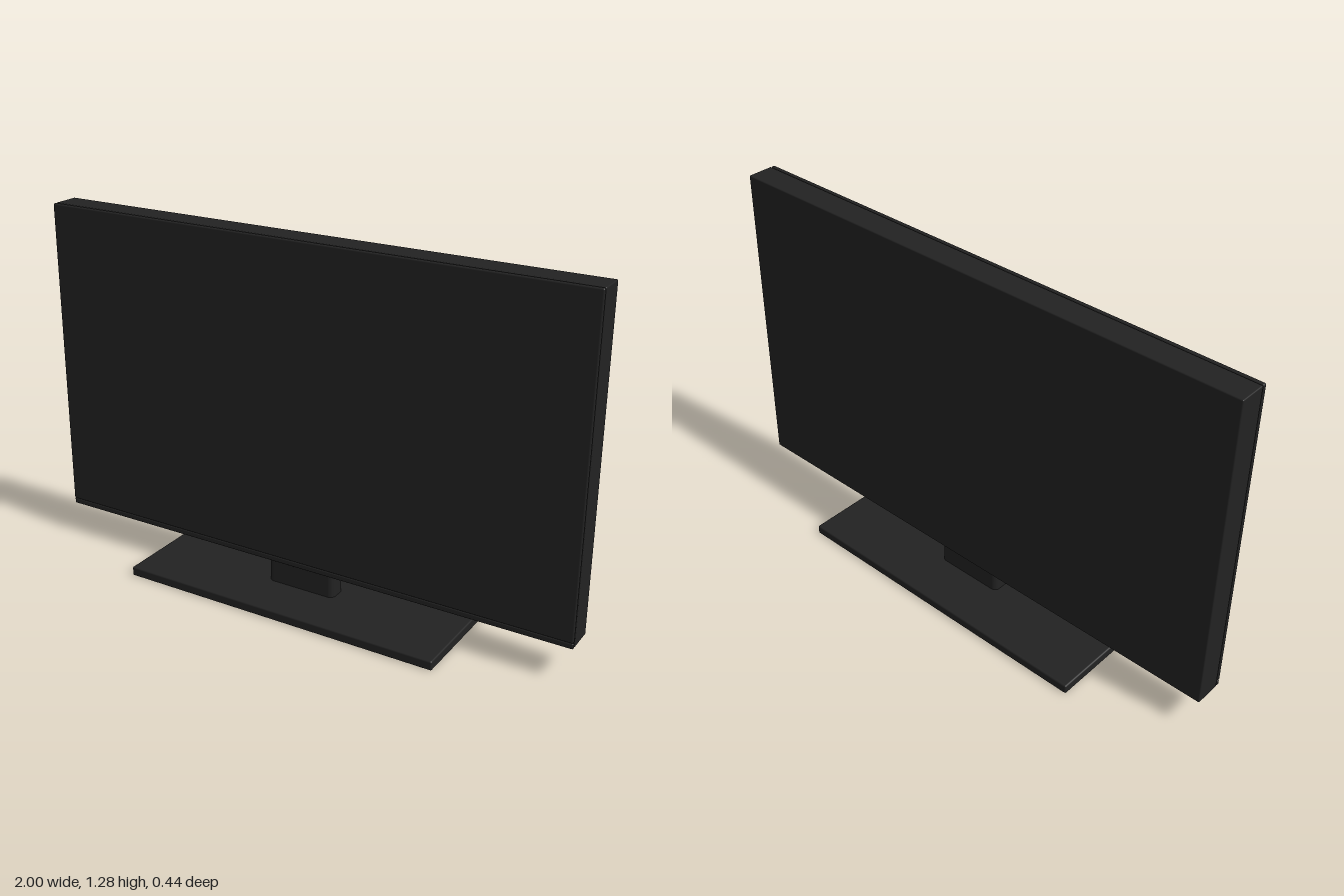
import * as THREE from 'three';
import { RoundedBoxGeometry } from 'three/addons/geometries/RoundedBoxGeometry.js';

// Rounded box spanning the given y and z ranges, centred on x = 0
function slab(name, width, [y0, y1], [z0, z1], radius, material) {
  const geometry = new RoundedBoxGeometry(width, y1 - y0, z1 - z0, 3, radius);
  const mesh = new THREE.Mesh(geometry, material);
  mesh.name = name;
  mesh.position.set(0, (y0 + y1) / 2, (z0 + z1) / 2);
  return mesh;
}

// Upright column with rounded vertical edges
function column(name, width, [y0, y1], [z0, z1], r, material) {
  const w = width / 2, d = (z1 - z0) / 2;
  const s = new THREE.Shape();
  s.absarc(w - r, d - r, r, 0, Math.PI / 2);
  s.absarc(-w + r, d - r, r, Math.PI / 2, Math.PI);
  s.absarc(-w + r, -d + r, r, Math.PI, Math.PI * 1.5);
  s.absarc(w - r, -d + r, r, Math.PI * 1.5, Math.PI * 2);
  const geometry = new THREE.ExtrudeGeometry(s, { depth: y1 - y0, bevelEnabled: false, curveSegments: 6 });
  geometry.rotateX(-Math.PI / 2);
  const mesh = new THREE.Mesh(geometry, material);
  mesh.name = name;
  mesh.position.set(0, y0, (z0 + z1) / 2);
  return mesh;
}

export function createModel() {
  const black = new THREE.MeshStandardMaterial({ color: 0x222222 });
  black.name = 'black plastic';

  const model = new THREE.Group();
  model.name = 'television';

  // Stand: flat foot and short neck
  model.add(slab('standBase', 1.2, [0, 0.034], [-0.218, 0.218], 0.006, black));
  model.add(column('standNeck', 0.26, [0.03, 0.13], [-0.035, 0.038], 0.02, black));

  // Display: rear housing, a recessed seam, front panel and the lower trim strip
  model.add(slab('rearHousing', 2, [0.123, 1.279], [-0.055, 0.041], 0.004, black));
  model.add(slab('seam', 1.99, [0.129, 1.273], [0.03, 0.052], 0.003, black));
  model.add(slab('screenPanel', 2, [0.144, 1.279], [0.043, 0.057], 0.005, black));
  model.add(slab('lowerTrim', 2, [0.123, 0.143], [0.043, 0.055], 0.004, black));

  return model;
}
